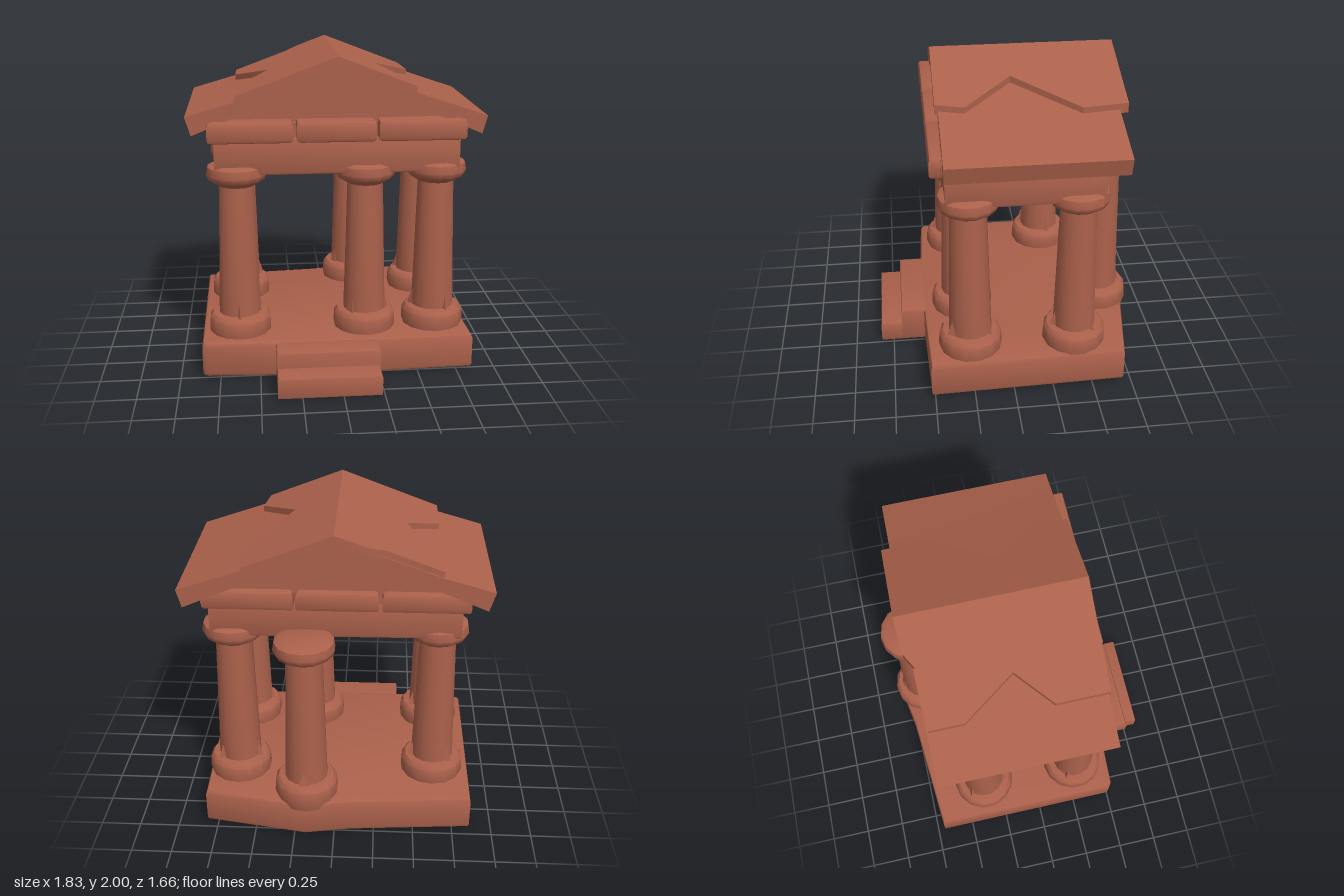
import * as THREE from 'three';
import { toCreasedNormals } from 'three/addons/utils/BufferGeometryUtils.js';

export function createModel() {
  const root = new THREE.Group();
  root.name = 'ruinedTemple';
  const clay = new THREE.MeshStandardMaterial({ color: 0xab614b });
  clay.name = 'terracotta';

  const add = (name, geo, parent = root, crease = 0.6) => {
    const mesh = new THREE.Mesh(toCreasedNormals(geo, crease), clay);
    mesh.name = name;
    parent.add(mesh);
    return mesh;
  };
  const outline = (pts) => new THREE.Shape(pts.map(([x, y]) => new THREE.Vector2(x, y)));

  // Horizontal plate from an x,z outline, with worn edges; outline is the outer size
  const plate = (pts, y0, y1, bevel = 0, hole) => {
    const shape = outline(pts);
    if (hole) shape.holes.push(outline(hole));
    const geo = new THREE.ExtrudeGeometry(shape, {
      depth: y1 - y0 - 2 * bevel, bevelEnabled: bevel > 0, bevelSize: bevel,
      bevelThickness: bevel, bevelOffset: -bevel, bevelSegments: 2,
    });
    return geo.rotateX(Math.PI / 2).translate(0, y1 - bevel, 0);
  };
  const rect = (x0, x1, z0, z1) => [[x0, z0], [x1, z0], [x1, z1], [x0, z1]];

  // Platform with a bowed back edge, and two front steps
  add('platform', plate([[-0.86, 0.5], [-0.86, -0.7], [-0.1, -0.76], [0.18, -0.81],
    [0.82, -0.7], [0.85, 0.52], [0.24, 0.54], [-0.4, 0.54], [-0.83, 0.52]], 0.01, 0.24, 0.025));
  add('upperStep', plate(rect(-0.4, 0.24, 0.4, 0.69), 0.01, 0.235, 0.012));
  add('lowerStep', plate(rect(-0.4, 0.235, 0.5, 0.83), 0, 0.135, 0.012));

  // Columns: drum base, tapered shaft and flared capital in one profile
  const profile = [[0, 0.2], [0.185, 0.2], [0.2, 0.26], [0.195, 0.335], [0.175, 0.36],
    [0.135, 0.365], [0.128, 0.6], [0.112, 1.2], [0.13, 1.21], [0.175, 1.24],
    [0.188, 1.27], [0.18, 1.32], [0.15, 1.335], [0, 1.335]]
    .map(([r, y]) => new THREE.Vector2(r, y));
  const spots = [[-0.62, 0.28], [0.18, 0.28], [0.63, 0.26],
    [-0.62, -0.36], [0.18, -0.635], [0.63, -0.4]];
  spots.forEach(([x, z], i) => {
    const column = new THREE.Group();
    column.name = 'column';
    column.position.set(x, 0, z);
    root.add(column);
    add('columnBody', new THREE.LatheGeometry(profile, 14), column);
    // Broken splinters round the foot of the shaft
    for (let k = 0; k < 3; k++) {
      const a = i * 1.3 + k * 2.1;
      add('splinter', new THREE.ConeGeometry(0.045, 0.13, 3)
        .translate(Math.sin(a) * 0.125, 0.41, Math.cos(a) * 0.125), column);
    }
  });

  // Hollow ring of beams and the ceiling inside it
  add('beams', plate([[-0.75, 0.4], [-0.75, -0.52], [0.75, -0.54], [0.75, 0.4]],
    1.28, 1.51, 0.02, rect(-0.5, 0.5, -0.3, 0.17)));
  add('ceiling', plate(rect(-0.74, 0.74, -0.52, 0.38), 1.48, 1.6));

  // Cornice: separate worn blocks front and back, long blocks on the sides
  [[-0.785, -0.275], [-0.255, 0.225], [0.24, 0.77]].forEach(([x0, x1]) => {
    add('frontCorniceBlock', plate(rect(x0, x1, 0.1, 0.485), 1.495, 1.62, 0.025));
    add('backCorniceBlock', plate(rect(x0, x1, -0.63, -0.2), 1.5, 1.62, 0.025));
  });
  for (const s of [-1, 1]) {
    add('sideCornice', plate(rect(Math.min(s * 0.4, s * 0.78), Math.max(s * 0.4, s * 0.78),
      -0.6, 0.42), 1.51, 1.62, 0.02));
  }

  // Recessed gable wall under the roof
  add('gable', new THREE.ExtrudeGeometry(outline([[-0.76, 1.6], [0.76, 1.6], [0, 1.93]]),
    { depth: 0.93, bevelEnabled: false }).translate(0, 0, -0.58));

  // Main roof, a folded slab open below
  add('lowerRoof', new THREE.ExtrudeGeometry(outline([[-0.88, 1.535], [0, 1.9], [0.88, 1.52],
    [0.91, 1.63], [0.54, 1.755], [0, 1.955], [-0.62, 1.735], [-0.915, 1.65]]),
  { depth: 1.05, bevelEnabled: false }).translate(0, 0, -0.64), root, 0.2);

  // Broken upper tiles: notched plates sheared to the roof pitch
  const tiles = (name, pts, rise) => {
    const geo = plate(pts, -0.06, 0);
    const p = geo.attributes.position;
    for (let i = 0; i < p.count; i++) {
      p.setY(i, p.getY(i) + 2.0 - rise * Math.abs(p.getX(i)));
    }
    geo.computeVertexNormals();
    add(name, geo);
  };
  tiles('upperTilesRight', [[0, -0.69], [0, 0.43], [-0.62, 0.42], [-0.62, 0.1],
    [-0.41, -0.1], [-0.62, -0.42], [-0.62, -0.63], [-0.28, -0.63], [-0.2, -0.68]], 0.37);
  tiles('upperTilesLeft', [[0, -0.69], [0.52, -0.69], [0.54, -0.42], [0.27, -0.03],
    [0.5, 0.26], [0.47, 0.43], [0, 0.43]], 0.385);

  return root;
}
